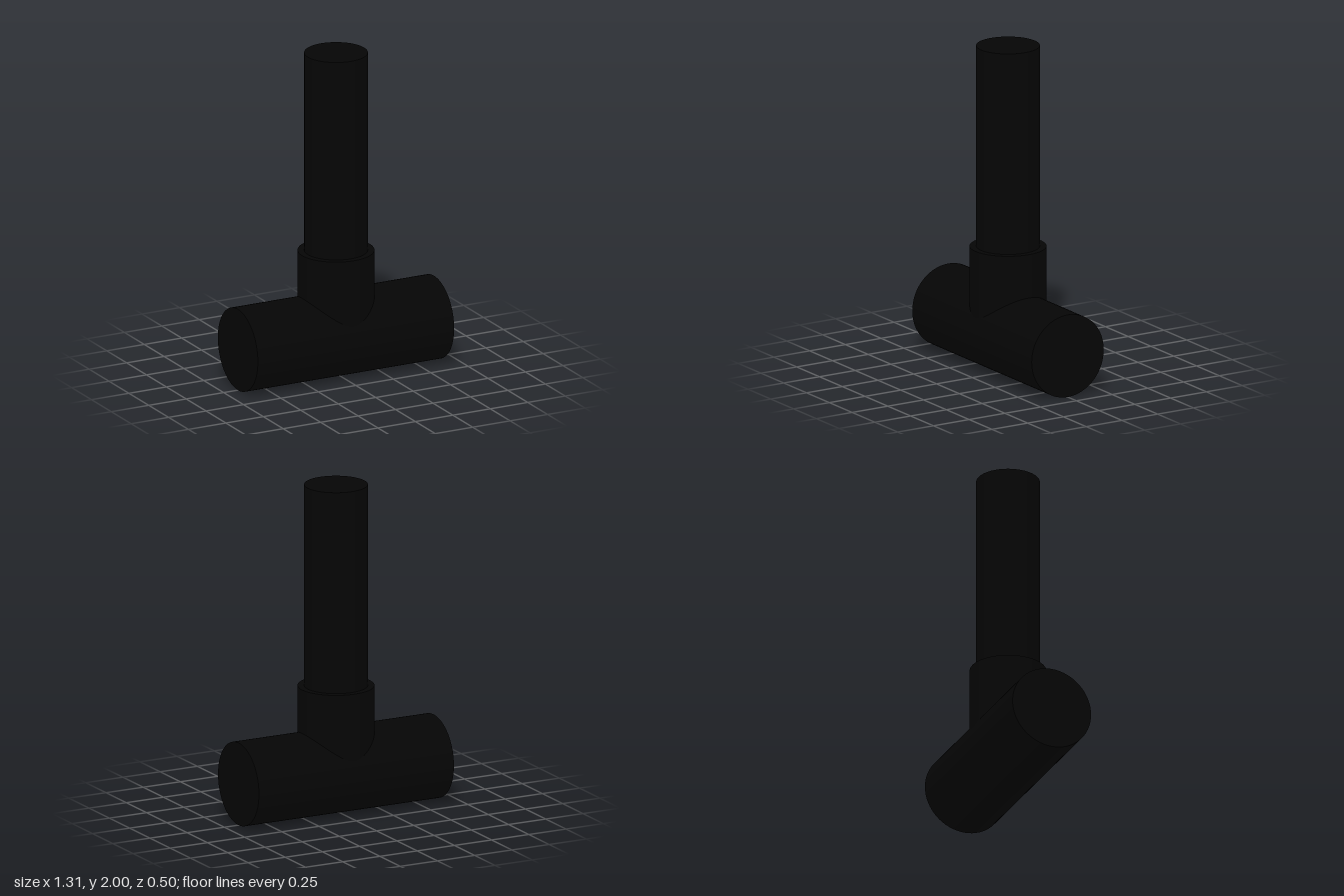
import * as THREE from 'three';

export function createModel() {
  const group = new THREE.Group();
  const black = new THREE.MeshStandardMaterial({ color: 0x050505 });

  // Solid round bar running from y = bottom to y = top
  function bar(name, radius, bottom, top) {
    const geometry = new THREE.CylinderGeometry(radius, radius, top - bottom, 64);
    const mesh = new THREE.Mesh(geometry, black);
    mesh.name = name;
    mesh.position.y = (bottom + top) / 2;
    group.add(mesh);
    return mesh;
  }

  // Horizontal head lying along x and resting on the ground
  const headRadius = 0.252;
  const head = bar('head', headRadius, 0, 1.31);
  head.rotation.z = Math.PI / 2;
  head.position.y = headRadius;

  // Collar rising out of the head, and the handle set into it
  bar('collar', 0.227, headRadius, 0.77);
  bar('handle', 0.188, 0.7, 2);

  return group;
}
